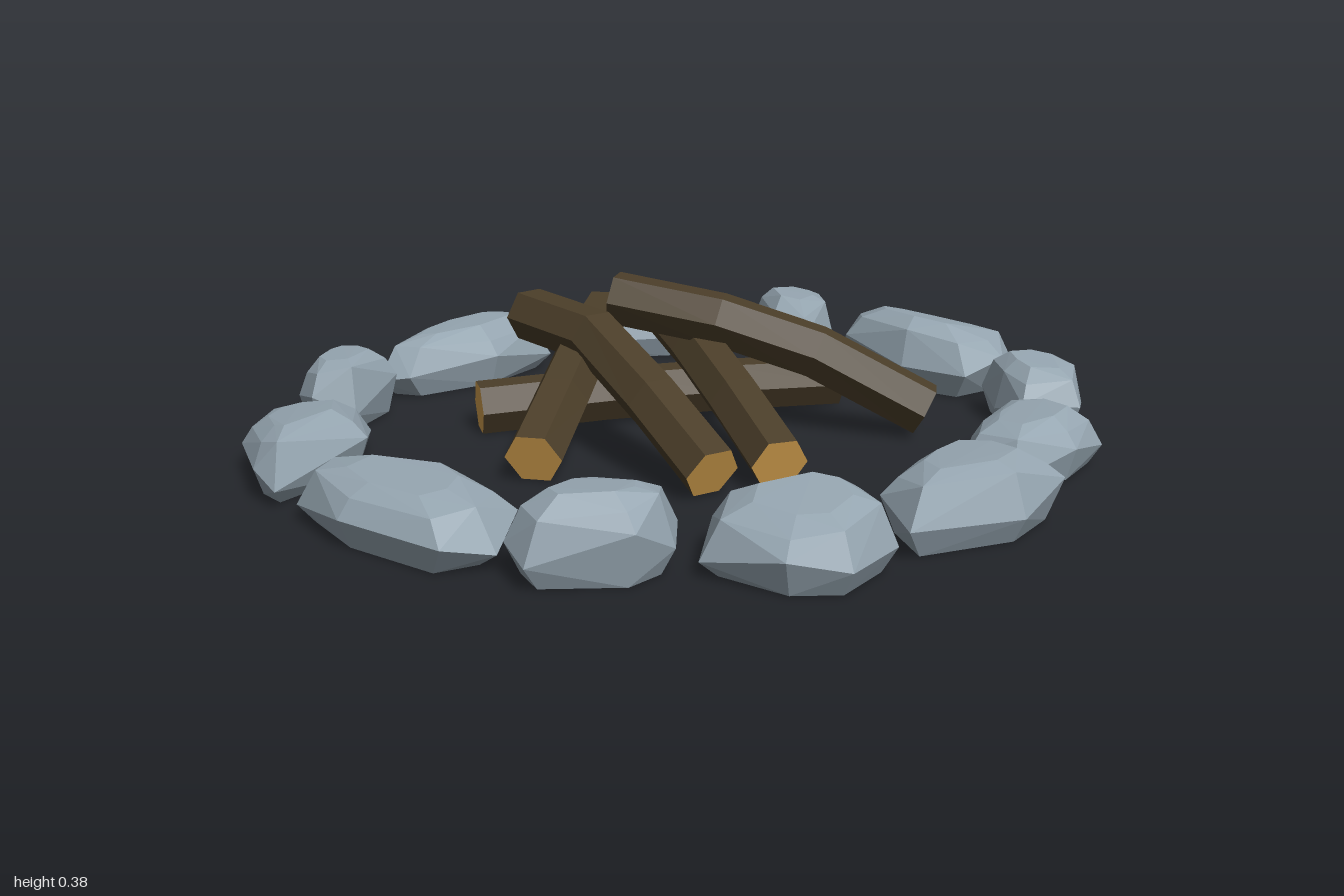
import * as THREE from 'three';
import { ConvexGeometry } from 'three/addons/geometries/ConvexGeometry.js';

const mat = (name, color, side = THREE.FrontSide) => {
  const m = new THREE.MeshStandardMaterial({ color, flatShading: true, side });
  m.name = name;
  return m;
};

const RIM = 0.008;

// Faceted stone shell, open underneath: a plan outline (x, z pairs) swept
// through four uneven rings, its height leaning by slopeX and slopeZ
function stone(height, slopeX, slopeZ, outline, material) {
  const plan = [];
  for (let i = 0; i < outline.length; i += 2) plan.push(new THREE.Vector2(outline[i], outline[i + 1]));
  const centre = plan.reduce((c, p) => c.add(p), new THREE.Vector2()).divideScalar(plan.length);
  const points = [];
  const ring = (scale, level) => plan.forEach((p, i) => {
    const q = centre.clone().lerp(p, scale);
    const top = height + slopeX * (q.x - centre.x) + slopeZ * (q.y - centre.y);
    points.push(new THREE.Vector3(q.x, Math.max(RIM, top * level(i)), q.y));
  });
  ring(0.82, () => 0);
  ring(1, (i) => 0.42 + 0.16 * Math.sin(i * 2.4 + height * 90));
  ring(0.8, (i) => 0.8 + 0.05 * Math.sin(i * 1.7 + height * 50));
  ring(0.5, (i) => 0.96 + 0.04 * Math.cos(i * 0.9 + height * 70));

  // Leave out the flat underside
  const hull = new ConvexGeometry(points).getAttribute('position');
  const shell = [];
  for (let i = 0; i < hull.count; i += 3) {
    const tri = [0, 1, 2].map((k) => new THREE.Vector3().fromBufferAttribute(hull, i + k));
    if (tri.some((v) => v.y > RIM + 0.001)) shell.push(...tri);
  }
  const geometry = new THREE.BufferGeometry().setFromPoints(shell);
  geometry.computeVertexNormals();
  const mesh = new THREE.Mesh(geometry, material);
  mesh.name = 'stone';
  return mesh;
}

// Bent six-sided log: bark in group 0, cut ends in group 1
function log(path, materials, radius = 0.067) {
  const centres = path.map((p) => new THREE.Vector3(...p));
  const last = centres.length - 1;
  const rings = centres.map((c, i) => {
    const dir = centres[Math.min(i + 1, last)].clone().sub(centres[Math.max(i - 1, 0)]).normalize();
    const side = dir.clone().cross(new THREE.Vector3(0, 1, 0)).normalize();
    const up = side.clone().cross(dir);
    return Array.from({ length: 6 }, (_, k) => c.clone()
      .addScaledVector(side, radius * Math.cos(k * Math.PI / 3))
      .addScaledVector(up, radius * Math.sin(k * Math.PI / 3)));
  });
  const tris = [];
  for (let i = 0; i < last; i++) {
    for (let k = 0; k < 6; k++) {
      const n = (k + 1) % 6;
      const a = rings[i][k], b = rings[i][n], c = rings[i + 1][k], d = rings[i + 1][n];
      tris.push(a, c, b, b, c, d);
    }
  }
  const barkCount = tris.length;
  for (let k = 1; k < 5; k++) {
    tris.push(rings[0][0], rings[0][k], rings[0][k + 1]);
    tris.push(rings[last][0], rings[last][k + 1], rings[last][k]);
  }
  const geometry = new THREE.BufferGeometry().setFromPoints(tris);
  geometry.addGroup(0, barkCount, 0);
  geometry.addGroup(barkCount, tris.length - barkCount, 1);
  geometry.computeVertexNormals();
  const mesh = new THREE.Mesh(geometry, materials);
  mesh.name = 'log';
  return mesh;
}

export function createModel() {
  const model = new THREE.Group();
  model.name = 'campfire';
  const rock = mat('stone grey', 0x96a6b1, THREE.DoubleSide);
  const wood = [mat('bark brown', 0x4b3e29), mat('cut wood', 0xd4a04e)];

  // Ring of twelve stones, from the back round over the -x side
  const stoneRing = new THREE.Group();
  stoneRing.name = 'stoneRing';
  model.add(stoneRing);
  const addStone = (height, slopeX, slopeZ, outline) => stoneRing.add(stone(height, slopeX, slopeZ, outline, rock));
  addStone(0.185, 0, 0.15, [-.20, -.86, -.14, -.95, .04, -1, .28, -.99, .32, -.86, .29, -.73, .11, -.70, -.12, -.76]);
  addStone(0.195, 0, 0, [-.47, -.81, -.45, -.94, -.35, -.96, -.25, -.87, -.20, -.69, -.31, -.66, -.46, -.77]);
  addStone(0.165, -0.05, 0, [-.64, -.81, -.54, -.81, -.47, -.71, -.58, -.53, -.78, -.32, -.89, -.36, -.85, -.56, -.78, -.69]);
  addStone(0.165, 0, 0, [-.89, -.30, -.76, -.25, -.72, -.02, -.78, .23, -.86, .27, -.94, .16, -.97, -.02, -.94, -.23]);
  addStone(0.18, 0.15, 0, [-.91, .34, -.84, .30, -.73, .31, -.65, .50, -.73, .57, -.84, .53, -.91, .41]);
  addStone(0.15, 0.12, 0, [-.72, .70, -.68, .62, -.54, .54, -.38, .67, -.34, .95, -.43, .94, -.64, .83]);
  addStone(0.15, 0, 0, [-.30, .86, -.28, .80, .03, .69, .20, .74, .27, .86, .23, .97, -.05, 1, -.26, .95]);
  addStone(0.19, 0.15, 0, [.27, .71, .30, .63, .48, .57, .54, .64, .54, .75, .39, .90, .29, .86]);
  addStone(0.17, 0, -0.1, [.50, .49, .61, .29, .72, .26, .85, .34, .87, .51, .78, .60, .58, .62]);
  addStone(0.17, 0.1, 0.06, [.65, -.13, .78, -.18, .93, -.14, .955, .05, .84, .29, .70, .20, .66, .05]);
  addStone(0.15, 0, 0, [.56, -.50, .65, -.58, .80, -.53, .83, -.36, .78, -.18, .65, -.19, .58, -.32]);
  addStone(0.175, 0, 0, [.36, -.70, .42, -.80, .52, -.83, .59, -.80, .66, -.67, .56, -.57, .45, -.62]);

  // Stack of five logs: one flat on the ground, four leaning over it
  const logPile = new THREE.Group();
  logPile.name = 'logPile';
  model.add(logPile);
  [
    [[.03, .065, -.52], [-.13, .075, -.25], [-.29, .075, .01], [-.455, .065, .275]],
    [[-.34, .24, -.26], [-.1, .2, -.13], [.14, .14, 0], [.37, .066, .12]],
    [[-.41, .24, -.12], [-.29, .2, .08], [-.17, .14, .27], [-.06, .066, .46]],
    [[-.46, .27, .10], [-.2, .26, .125], [.07, .17, .205], [.30, .066, .265]],
    [[-.26, .325, 0], [-.03, .285, -.13], [.16, .21, -.27], [.38, .075, -.42]],
  ].forEach((path) => logPile.add(log(path, wood)));

  return model;
}
